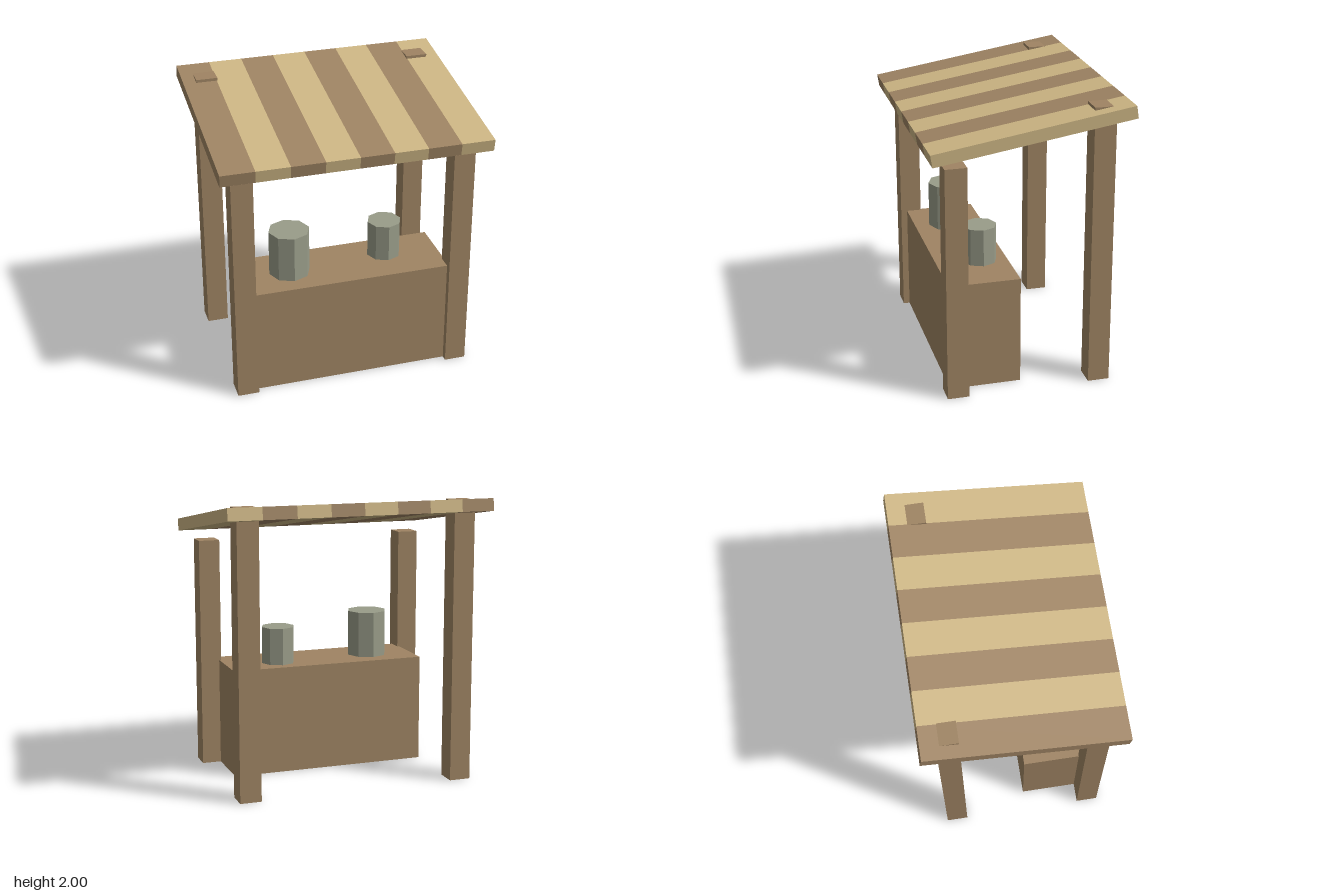
import * as THREE from 'three';

const wood = new THREE.MeshStandardMaterial({ name: 'brown wood', color: 0x9f8463 });
const cream = new THREE.MeshStandardMaterial({ name: 'pale straw', color: 0xcdb684 });
const metal = new THREE.MeshStandardMaterial({ name: 'grey green metal', color: 0x999c89 });
for (const m of [wood, cream, metal]) m.flatShading = false;

function addMesh(parent, name, geometry, material, x, y, z) {
  const mesh = new THREE.Mesh(geometry, material);
  mesh.name = name;
  mesh.position.set(x, y, z);
  parent.add(mesh);
  return mesh;
}

// Box standing on the ground
function standingBox(parent, name, w, h, d, x, z) {
  return addMesh(parent, name, new THREE.BoxGeometry(w, h, d), wood, x, h / 2, z);
}

// Eight-sided container standing on the counter
function container(parent, name, radius, bottom, top, x, z) {
  const geometry = new THREE.CylinderGeometry(radius, radius, top - bottom, 8).toNonIndexed();
  geometry.computeVertexNormals();
  return addMesh(parent, name, geometry, metal, x, (top + bottom) / 2, z);
}

export function createModel() {
  const stall = new THREE.Group();
  stall.name = 'marketStall';

  // Posts: the back pair is taller and pokes through the roof
  for (const [side, label] of [[1, 'left'], [-1, 'right']]) {
    standingBox(stall, label + 'FrontPost', 0.15, 1.65, 0.15, side * 0.77, 0.5);
    standingBox(stall, label + 'BackPost', 0.15, 1.98, 0.15, side * 0.77, -0.495);
  }

  // Counter with two containers on top
  const counterTop = 0.77;
  standingBox(stall, 'counter', 1.42, counterTop, 0.5, 0, 0.28);
  container(stall, 'largeContainer', 0.145, counterTop, 1.1, -0.385, 0.28);
  container(stall, 'smallContainer', 0.12, counterTop, 1.035, 0.325, 0.22);

  // Sloping roof of alternating planks
  const roof = new THREE.Group();
  roof.name = 'stripedRoof';
  roof.position.set(0, 1.85, 0);
  roof.rotation.x = THREE.MathUtils.degToRad(9);
  const count = 8;
  const width = 1.868 / count;
  for (let i = 0; i < count; i++) {
    const geometry = new THREE.BoxGeometry(width, 0.086, 1.37);
    addMesh(roof, 'roofStripe' + (i + 1), geometry, i % 2 ? cream : wood, (i - (count - 1) / 2) * width, 0, 0);
  }
  stall.add(roof);

  return stall;
}
